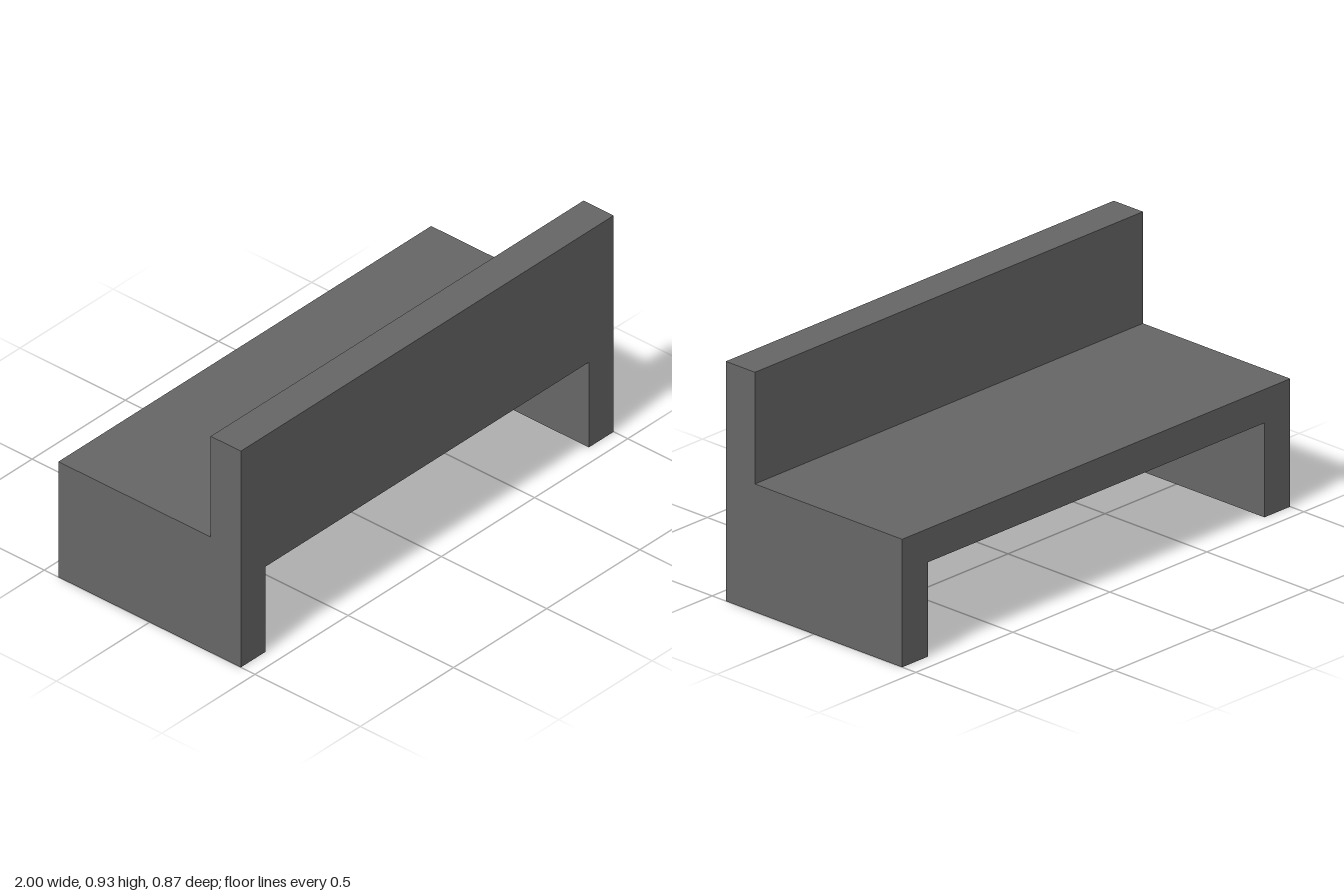
import * as THREE from 'three';

// Main dimensions
const HALF_WIDTH = 1, HALF_DEPTH = 0.433;
const INNER = 0.867;        // inner faces of the legs
const UNDERSIDE = 0.365, SEAT_TOP = 0.495, TOP = 0.927;
const BACKREST_Z = 0.29;    // face of the backrest towards the seat

export function createModel() {
  const group = new THREE.Group();
  group.name = 'bench';
  const grey = new THREE.MeshStandardMaterial({ color: 0x666666 });
  grey.name = 'grey';

  // Seat and both panel legs: one arch profile extruded through the depth
  const arch = new THREE.Shape([
    [-HALF_WIDTH, 0], [-INNER, 0], [-INNER, UNDERSIDE], [INNER, UNDERSIDE],
    [INNER, 0], [HALF_WIDTH, 0], [HALF_WIDTH, SEAT_TOP], [-HALF_WIDTH, SEAT_TOP],
  ].map(([x, y]) => new THREE.Vector2(x, y)));
  const seatGeometry = new THREE.ExtrudeGeometry(arch, { depth: 2 * HALF_DEPTH, bevelEnabled: false });
  seatGeometry.translate(0, 0, -HALF_DEPTH);
  const seat = new THREE.Mesh(seatGeometry, grey);
  seat.name = 'seatAndLegs';
  group.add(seat);

  // Backrest standing flush with the +z edge of the seat
  const backrest = new THREE.Mesh(
    new THREE.BoxGeometry(2 * HALF_WIDTH, TOP - SEAT_TOP, HALF_DEPTH - BACKREST_Z), grey);
  backrest.name = 'backrest';
  backrest.position.set(0, (TOP + SEAT_TOP) / 2, (HALF_DEPTH + BACKREST_Z) / 2);
  group.add(backrest);

  return group;
}
